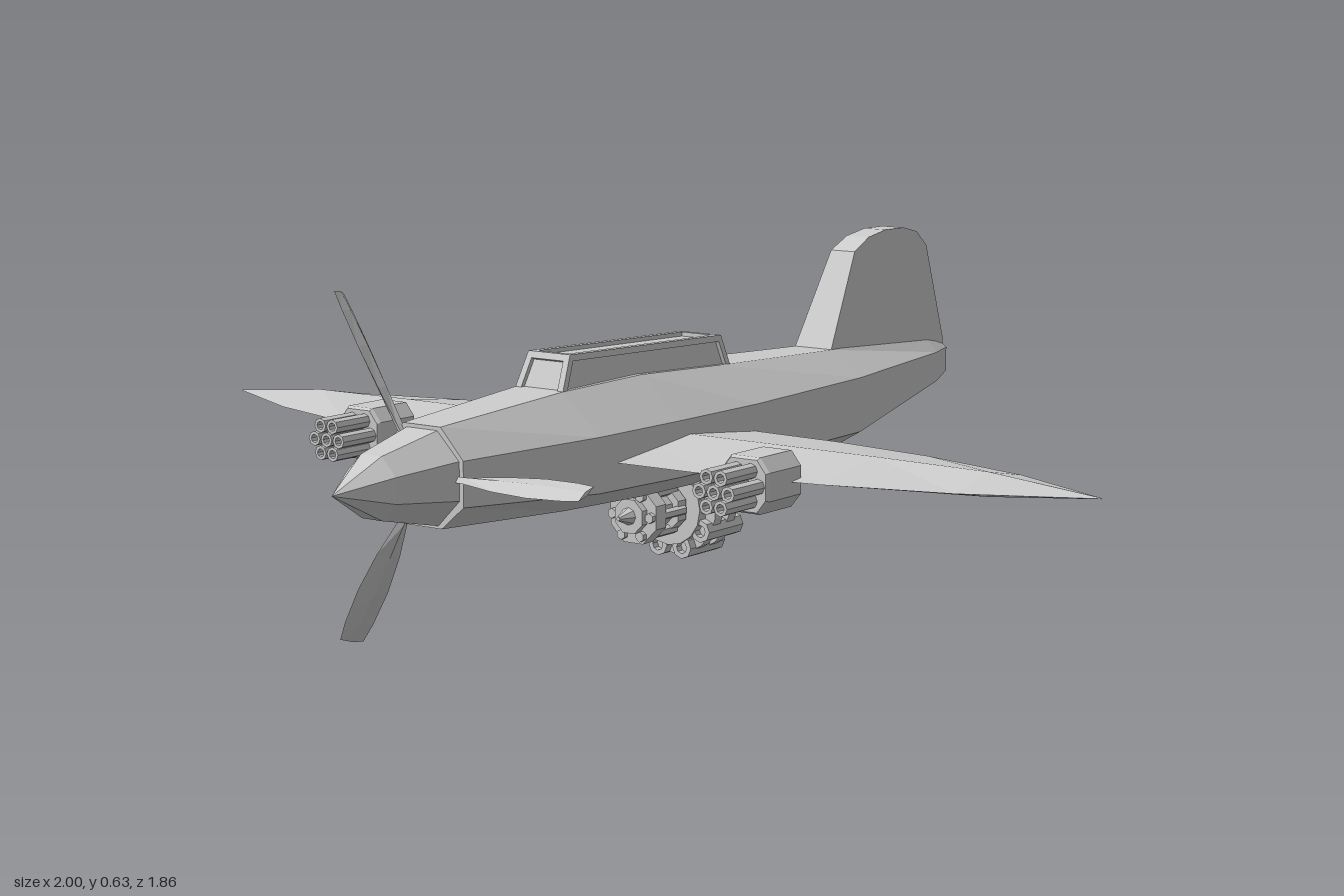
import * as THREE from 'three';

const grey = new THREE.MeshStandardMaterial({ color: 0xcccccc, flatShading: true, side: THREE.DoubleSide });
const V = (x, y, z) => new THREE.Vector3(x, y, z);

function add(parent, geometry, name) {
  const mesh = new THREE.Mesh(geometry, grey);
  mesh.name = name;
  parent.add(mesh);
  return mesh;
}

function fromTriangles(points) {
  const g = new THREE.BufferGeometry().setFromPoints(points);
  g.computeVertexNormals();
  return g;
}

// Skin a row of matching rings and close both ends
function loft(rings) {
  const t = [], n = rings[0].length, last = rings[rings.length - 1];
  for (let i = 0; i < rings.length - 1; i++) {
    for (let j = 0; j < n; j++) {
      const k = (j + 1) % n, a = rings[i], b = rings[i + 1];
      t.push(a[j], a[k], b[k], a[j], b[k], b[j]);
    }
  }
  for (let j = 1; j < n - 1; j++) {
    t.push(rings[0][0], rings[0][j + 1], rings[0][j], last[0], last[j], last[j + 1]);
  }
  return fromTriangles(t);
}

// Cylinder lying along z, from z0 to z1
function rod(r0, r1, z0, z1, sides, turn = 0) {
  return new THREE.CylinderGeometry(r1, r0, z1 - z0, sides).rotateY(turn).rotateX(Math.PI / 2).translate(0, 0, (z0 + z1) / 2);
}

// Hollow barrel with a bored muzzle at both ends
function barrel(r, bore, z0, z1, depth) {
  const p = [[0, z0 + depth], [bore, z0 + depth], [bore, z0], [r, z0], [r, z1], [bore, z1], [bore, z1 - depth], [0, z1 - depth]];
  return new THREE.LatheGeometry(p.map(q => new THREE.Vector2(...q)), 8).rotateX(Math.PI / 2);
}

// Eight-sided fuselage: z, half width, flat half width, top, upper edge, lower edge, bottom
function makeFuselage() {
  const stations = [
    [-0.93, 0.055, 0.03, 0.385, 0.365, 0.315, 0.3],
    [-0.87, 0.068, 0.035, 0.398, 0.362, 0.3, 0.284],
    [-0.5, 0.118, 0.045, 0.407, 0.357, 0.247, 0.205],
    [-0.1, 0.143, 0.055, 0.424, 0.357, 0.25, 0.205],
    [0.15, 0.145, 0.057, 0.436, 0.358, 0.252, 0.207],
    [0.38, 0.138, 0.055, 0.432, 0.358, 0.256, 0.215],
    [0.7, 0.092, 0.042, 0.41, 0.356, 0.275, 0.232],
  ];
  return loft(stations.map(([z, w, f, top, up, low, bot]) => [
    V(w, low, z), V(w, up, z), V(f, top, z), V(-f, top, z),
    V(-w, up, z), V(-w, low, z), V(-f, bot, z), V(f, bot, z),
  ]));
}

// Diamond-section wing running tip to tip
function makeWing() {
  const half = [[0, 0.335, -0.105, 0.024], [0.33, 0.326, -0.092, 0.024], [0.55, 0.292, -0.062, 0.024],
    [0.78, 0.225, 0.002, 0.022], [1, 0.117, 0.113, 0.001]];
  const all = [...half.slice(1).reverse().map(([x, ...r]) => [-x, ...r]), ...half];
  return loft(all.map(([x, lead, trail, t]) => [
    V(x, 0.305, trail), V(x, 0.305 + t, 0.115), V(x, 0.305, lead), V(x, 0.305 - t, 0.115),
  ]));
}

// Fin extruded from its side outline, thinner toward the top
function makeFin() {
  const s = new THREE.Shape([[0.5, 0.4], [0.61, 0.595], [0.665, 0.62], [0.73, 0.63], [0.8, 0.629], [0.85, 0.617],
    [0.885, 0.585], [0.93, 0.385], [0.92, 0.33]].map(q => new THREE.Vector2(...q)));
  const g = new THREE.ExtrudeGeometry(s, { depth: 2, bevelEnabled: false });
  g.translate(0, 0, -1).rotateY(Math.PI / 2);
  const p = g.attributes.position;
  for (let i = 0; i < p.count; i++) {
    p.setX(i, p.getX(i) * THREE.MathUtils.mapLinear(p.getY(i), 0.33, 0.63, 0.05, 0.026));
  }
  g.computeVertexNormals();
  return g;
}

// Canopy whose five faces each have a frame and a sunken pane
function makeCanopy() {
  const b = [V(-0.056, 0.42, 0.385), V(0.056, 0.42, 0.385), V(0.056, 0.41, -0.14), V(-0.056, 0.41, -0.14)];
  const u = [V(-0.048, 0.495, 0.35), V(0.048, 0.495, 0.35), V(0.048, 0.48, -0.115), V(-0.048, 0.48, -0.115)];
  const t = [];
  const quad = (a, c, d, e) => t.push(a, c, d, a, d, e);
  const faces = [u, ...[0, 1, 2, 3].map(i => [b[i], b[(i + 1) % 4], u[(i + 1) % 4], u[i]])];
  for (const f of faces) {
    const n = f[1].clone().sub(f[0]).cross(f[3].clone().sub(f[0])).normalize();
    const inner = f.map((p, i) => {
      const d1 = f[(i + 1) % 4].clone().sub(p).normalize(), d2 = f[(i + 3) % 4].clone().sub(p).normalize();
      return p.clone().addScaledVector(d1, 0.013).addScaledVector(d2, 0.013);
    });
    const sunk = inner.map(p => p.clone().addScaledVector(n, -0.008));
    for (let i = 0; i < 4; i++) {
      const k = (i + 1) % 4;
      quad(f[i], f[k], inner[k], inner[i]);
      quad(inner[i], inner[k], sunk[k], sunk[i]);
    }
    quad(...sunk);
  }
  return fromTriangles(t);
}

function makeBlade() {
  const rows = [[0.05, 0.007, 0.006], [0.1, 0.01, 0.007], [0.17, 0.023, 0.008], [0.25, 0.03, 0.008], [0.32, 0.028, 0.006], [0.358, 0.023, 0.004]];
  return loft(rows.map(([r, c, t]) => [V(t, r, 0), V(0, r, -c), V(-t, r, 0), V(0, r, c)]));
}

function makeGunPod() {
  const pod = new THREE.Group();
  const ring = (z, s) => [[0.05, -0.025], [0.05, 0.025], [0.03, 0.05], [-0.03, 0.05], [-0.05, 0.025], [-0.05, -0.025], [-0.03, -0.05], [0.03, -0.05]]
    .map(([x, y]) => V(x * s, y * s, z));
  add(pod, loft([ring(0.27, 1), ring(0.365, 1), ring(0.372, 0.92)]), 'podHousing');
  add(pod, barrel(0.014, 0.008, 0.36, 0.462, 0.02), 'centreBarrel');
  for (let i = 0; i < 6; i++) {
    const a = i * Math.PI / 3;
    add(pod, barrel(0.014, 0.008, 0.36, 0.462, 0.02), 'podBarrel').position.set(0.03 * Math.cos(a), 0.03 * Math.sin(a), 0);
  }
  return pod;
}

function makeBellyTurret() {
  const turret = new THREE.Group();
  const eighth = Math.PI / 8;
  add(turret, rod(0.02, 0.004, 0.108, 0.147, 8), 'turretTip');
  add(turret, rod(0.035, 0.035, -0.01, 0.115, 8, eighth), 'turretShaft');
  add(turret, rod(0.058, 0.058, 0.068, 0.1, 8, eighth), 'frontCollar');
  add(turret, rod(0.05, 0.05, -0.005, 0.02, 8, eighth), 'rearCollar');
  add(turret, rod(0.075, 0.075, -0.105, -0.01, 16), 'drum');
  add(turret, rod(0.045, 0.045, -0.125, -0.1, 8, eighth), 'drumHub');
  for (const z of [-0.045, -0.09]) add(turret, rod(0.096, 0.096, z - 0.012, z + 0.012, 18), 'drumBand');
  for (let i = 0; i < 9; i++) {
    const a = -Math.PI / 2 + (i + 0.5) * Math.PI * 2 / 9;
    add(turret, barrel(0.022, 0.012, -0.127, -0.015, 0.015), 'drumBarrel').position.set(0.083 * Math.cos(a), 0.083 * Math.sin(a), 0);
  }
  // Thin rods linking the two collars
  for (let i = 0; i < 6; i++) {
    const a = i * Math.PI / 3;
    add(turret, rod(0.01, 0.01, 0, 0.11, 6), 'collarRod').position.set(0.044 * Math.cos(a), 0.044 * Math.sin(a), 0);
  }
  return turret;
}

export function createModel() {
  const plane = new THREE.Group();
  plane.name = 'propellerPlane';
  add(plane, makeFuselage(), 'fuselage');
  add(plane, makeWing(), 'wing');
  add(plane, makeFin(), 'tailFin');
  add(plane, makeCanopy(), 'canopy');

  // Spinner and three pitched blades
  const propeller = new THREE.Group();
  propeller.name = 'propeller';
  propeller.position.set(0, 0.32, 0.7);
  const profile = [[0, -0.005], [0.09, -0.005], [0.09, 0], [0.06, 0.13], [0, 0.23]].map(q => new THREE.Vector2(...q));
  add(propeller, new THREE.LatheGeometry(profile, 8).rotateY(Math.PI / 8).rotateX(Math.PI / 2), 'spinner');
  for (let i = 0; i < 3; i++) {
    const arm = new THREE.Group();
    arm.name = 'bladeArm';
    arm.rotation.z = THREE.MathUtils.degToRad(-88.5 + i * 120);
    add(arm, makeBlade(), 'blade').rotation.y = 0.42;
    propeller.add(arm);
  }
  plane.add(propeller);

  // Gun pods under both wings
  for (const side of [-1, 1]) {
    const pod = makeGunPod();
    pod.name = side > 0 ? 'leftGunPod' : 'rightGunPod';
    pod.position.set(side * 0.445, 0.305, 0);
    plane.add(pod);
  }

  const turret = makeBellyTurret();
  turret.name = 'bellyTurret';
  turret.position.set(0, 0.157, 0);
  plane.add(turret);
  return plane;
}
